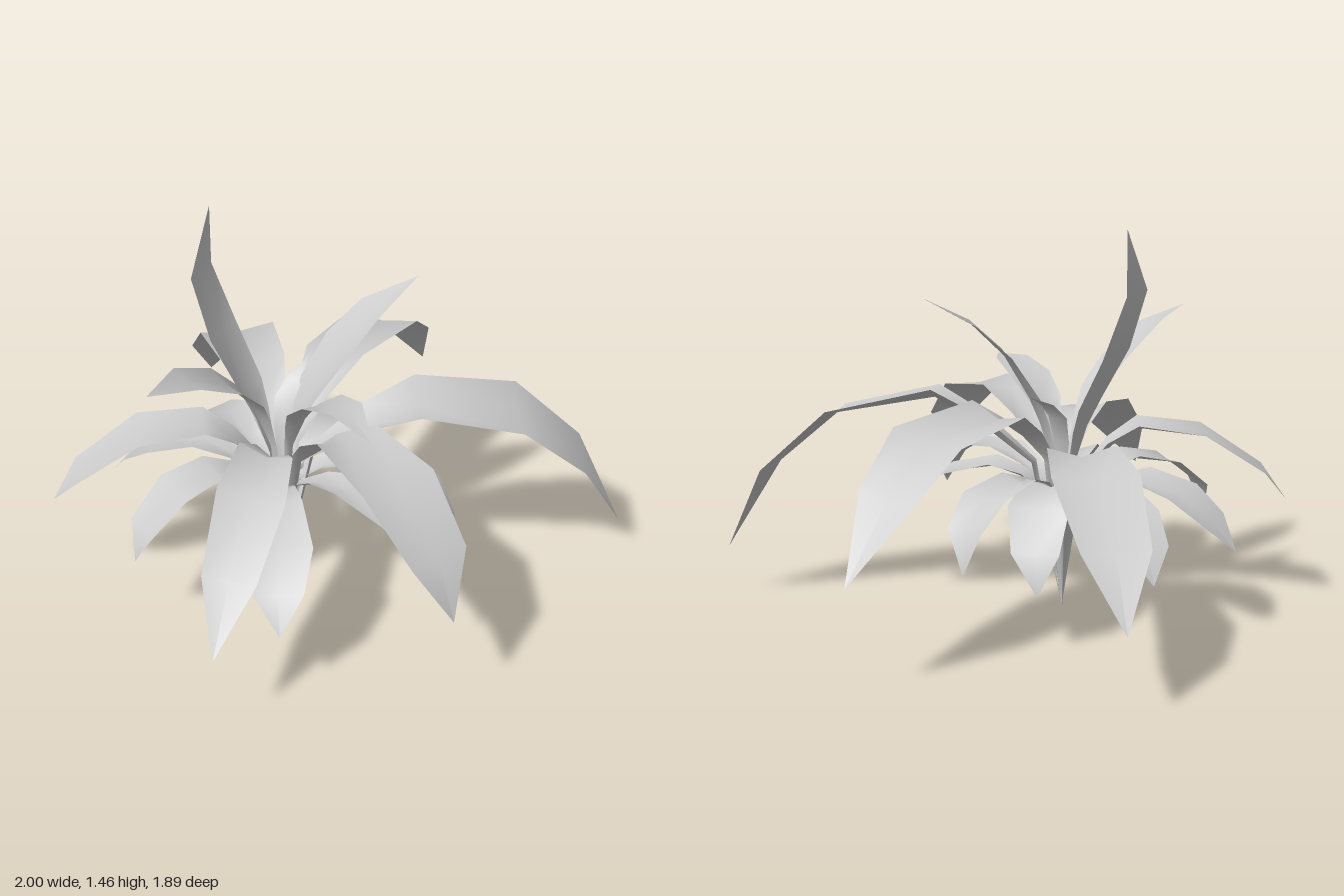
import * as THREE from 'three';

const leafGrey = new THREE.MeshStandardMaterial({ color: 0xcccccc, side: THREE.DoubleSide });
leafGrey.name = 'leafGrey';

const ROOT = new THREE.Vector3(-0.15, 0, -0.05);
// Half-width (share of the widest) and channel depth from root to tip
const WIDTH = [0.02, 0.22, 0.52, 0.82, 1, 0.78, 0];
const FOLD = [0.3, 0.6, 0.45, 0.3, 0.12, 0.08, 0];

// Channelled blade, three points across, swept along a spine: stalk, arch, middle, shoulder, tip.
// roll tilts the blade about its spine.
function makeLeaf(name, halfWidth, roll, ...spine) {
  const pts = [ROOT, ...spine.map((p) => new THREE.Vector3(...p))];
  // rounded bend between stalk and arch
  const bend = pts[1].clone().lerp(pts[2], 0.5);
  bend.y += 0.025;
  pts.splice(2, 0, bend);
  const last = pts.length - 1;
  const heading = pts[last].clone().sub(ROOT).setY(0).normalize();
  const level = new THREE.Vector3(heading.z, 0, -heading.x);
  const pos = [];
  const idx = [];
  pts.forEach((p, i) => {
    const tangent = pts[Math.min(i + 1, last)].clone().sub(pts[Math.max(i - 1, 0)]).normalize();
    const up = tangent.clone().cross(level).normalize();
    const side = level.clone().multiplyScalar(Math.cos(roll)).addScaledVector(up, Math.sin(roll));
    const w = halfWidth * WIDTH[i];
    for (const s of [-1, 0, 1]) {
      const v = p.clone().addScaledVector(side, s * w)
        .addScaledVector(up, (Math.abs(s) - 0.5) * FOLD[i] * w);
      pos.push(v.x, v.y, v.z);
    }
    if (i === last) return;
    for (let c = 0; c < 2; c++) {
      const a = i * 3 + c;
      idx.push(a, a + 3, a + 1);
      if (i < last - 1) idx.push(a + 1, a + 3, a + 4);
    }
  });
  const geo = new THREE.BufferGeometry();
  geo.setAttribute('position', new THREE.Float32BufferAttribute(pos, 3));
  geo.setIndex(idx);
  geo.computeVertexNormals();
  const mesh = new THREE.Mesh(geo, leafGrey);
  mesh.name = name;
  return mesh;
}

export function createModel() {
  const plant = new THREE.Group();
  plant.name = 'plant';
  const ring = (name, ...leaves) => {
    const group = new THREE.Group();
    group.name = name;
    group.add(...leaves);
    plant.add(group);
  };

  // Long arching leaves
  ring('longLeaves',
    makeLeaf('frontLeftLongLeaf', 0.155, 0.12, [-0.09, 0.56, 0.04], [0.11, 0.81, 0.37], [0.375, 0.74, 0.635], [0.555, 0.52, 0.815], [0.68, 0.2, 0.94]),
    makeLeaf('leftLongLeaf', 0.15, -0.12, [-0.08, 0.58, -0.05], [0.2, 0.81, -0.065], [0.57, 0.785, -0.105], [0.79, 0.64, -0.155], [1, 0.38, -0.18]),
    makeLeaf('backLeftLongLeaf', 0.15, 0, [-0.1, 0.52, -0.11], [0.1, 0.71, -0.38], [0.28, 0.695, -0.61], [0.4, 0.51, -0.81], [0.5, 0.29, -0.95]),
    makeLeaf('frontRightLongLeaf', 0.12, -0.18, [-0.21, 0.55, -0.02], [-0.38, 0.72, 0.06], [-0.58, 0.69, 0.155], [-0.82, 0.53, 0.25], [-1, 0.34, 0.32]));

  // Middle leaves with blunter ends
  ring('middleLeaves',
    makeLeaf('frontMiddleLeaf', 0.155, -0.06, [-0.17, 0.56, 0.03], [-0.23, 0.8, 0.3], [-0.31, 0.765, 0.57], [-0.385, 0.6, 0.79], [-0.42, 0.4, 0.88]),
    makeLeaf('backRightMiddleLeaf', 0.115, 0, [-0.2, 0.52, -0.1], [-0.35, 0.71, -0.25], [-0.505, 0.69, -0.43], [-0.675, 0.54, -0.59], [-0.735, 0.42, -0.66]));

  // Short drooping leaves underneath
  ring('lowerLeaves',
    makeLeaf('backRightLowerLeaf', 0.125, 0, [-0.165, 0.43, -0.1], [-0.23, 0.55, -0.36], [-0.285, 0.51, -0.52], [-0.31, 0.43, -0.64], [-0.345, 0.32, -0.725]),
    makeLeaf('backLeftLowerLeaf', 0.105, 0, [-0.135, 0.43, -0.1], [-0.03, 0.55, -0.4], [0.0, 0.49, -0.53], [0.045, 0.4, -0.64], [0.08, 0.29, -0.7]),
    makeLeaf('leftBackLowerLeaf', 0.11, 0, [-0.11, 0.43, -0.07], [0.06, 0.55, -0.19], [0.19, 0.5, -0.26], [0.27, 0.36, -0.32], [0.28, 0.21, -0.34]),
    makeLeaf('leftLowerLeaf', 0.1, 0, [-0.11, 0.43, -0.055], [0.1, 0.55, -0.07], [0.28, 0.52, -0.08], [0.39, 0.42, -0.09], [0.41, 0.26, -0.1]),
    makeLeaf('frontLeftLowerLeaf', 0.1, 0, [-0.125, 0.43, -0.02], [0.0, 0.55, 0.17], [0.09, 0.51, 0.33], [0.17, 0.42, 0.44], [0.2, 0.3, 0.5]),
    makeLeaf('frontLowerLeaf', 0.1, 0, [-0.155, 0.43, -0.01], [-0.18, 0.56, 0.28], [-0.195, 0.54, 0.51], [-0.215, 0.46, 0.645], [-0.24, 0.33, 0.695]),
    makeLeaf('frontRightLowerLeaf', 0.11, 0, [-0.185, 0.43, -0.025], [-0.4, 0.55, 0.12], [-0.54, 0.49, 0.25], [-0.66, 0.4, 0.33], [-0.72, 0.28, 0.38]),
    makeLeaf('rightLowerLeaf', 0.1, 0, [-0.185, 0.43, -0.065], [-0.4, 0.57, -0.17], [-0.55, 0.54, -0.23], [-0.69, 0.43, -0.265], [-0.72, 0.3, -0.28]));

  // Upright leaves around the centre
  ring('upperLeaves',
    makeLeaf('backTallLeaf', 0.1, 0.28, [-0.15, 0.55, -0.1], [-0.16, 0.8, -0.19], [-0.175, 1.0, -0.295], [-0.195, 1.23, -0.37], [-0.135, 1.46, -0.37]),
    makeLeaf('rightUpperLeaf', 0.09, -0.2, [-0.19, 0.6, -0.06], [-0.28, 0.84, -0.09], [-0.38, 0.95, -0.11], [-0.58, 1.06, -0.11], [-0.79, 1.1, -0.1]),
    makeLeaf('leftUpperLeaf', 0.105, 0, [-0.12, 0.58, -0.03], [-0.06, 0.82, 0.02], [0.02, 0.98, 0.08], [0.13, 1.1, 0.14], [0.28, 1.2, 0.24]),
    makeLeaf('frontUpperLeaf', 0.085, 0, [-0.155, 0.6, -0.01], [-0.17, 0.79, 0.07], [-0.185, 0.87, 0.16], [-0.22, 0.91, 0.29], [-0.32, 0.89, 0.47]),
    makeLeaf('centreBud', 0.04, 0, [-0.14, 0.45, -0.06], [-0.12, 0.65, -0.07], [-0.09, 0.75, -0.08], [-0.03, 0.81, -0.08], [0.06, 0.85, -0.09]));

  return plant;
}
